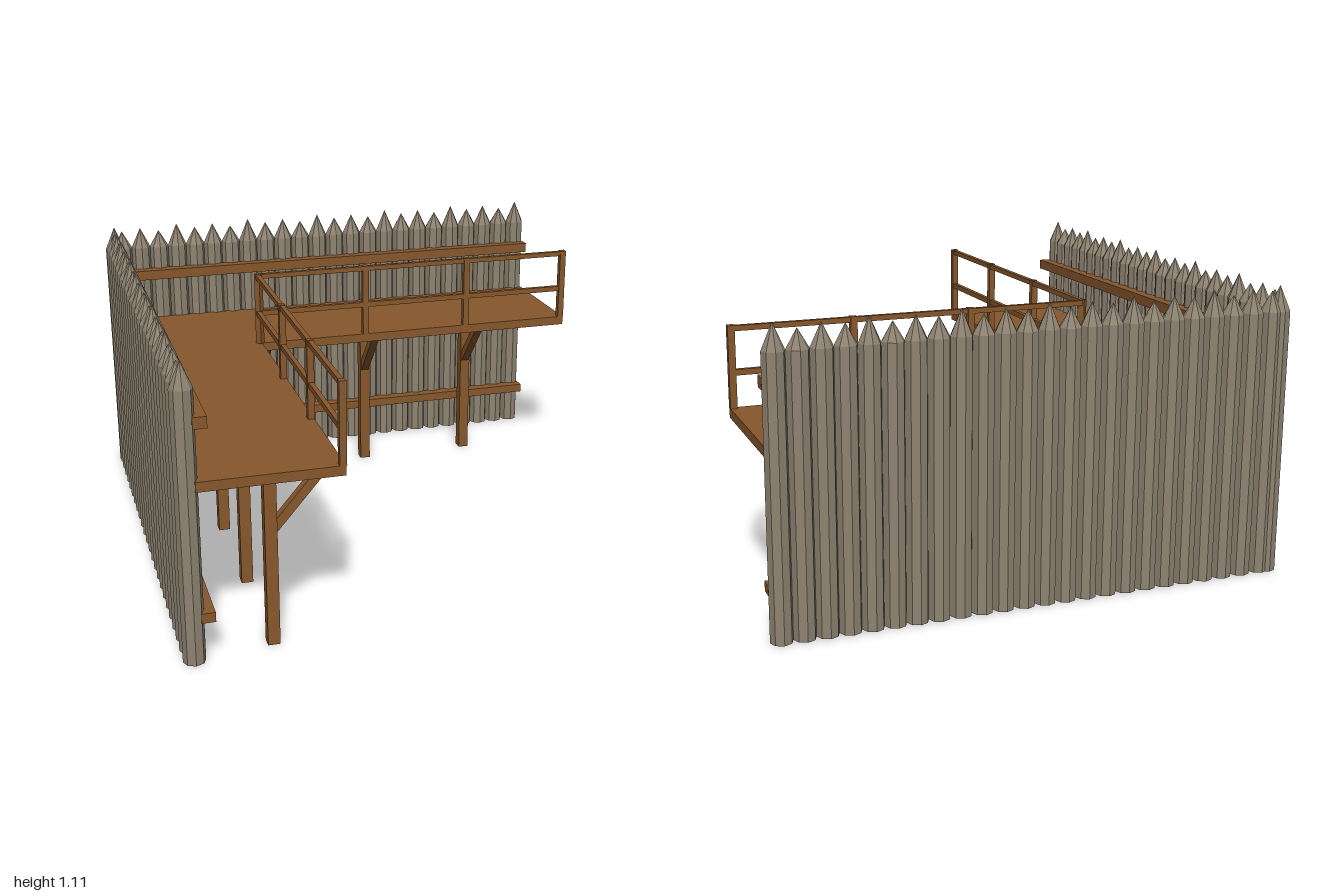
import * as THREE from 'three';

const logMat = new THREE.MeshStandardMaterial({ color: 0x8f8472, flatShading: true });
logMat.name = 'weathered log';
const woodMat = new THREE.MeshStandardMaterial({ color: 0x87572b });
woodMat.name = 'brown timber';

const WALL = -0.957;    // centre line of both palisade walls
const RADIUS = 0.041;
const END = 0.99;       // open end of both wings
const EDGE = -0.41;     // inner edge of the walkway
const INNER = -0.93;    // inner face of the palisade

export function createModel() {
  const model = new THREE.Group();
  model.name = 'palisadeCorner';

  // Box given by its limits along the wing (a), upwards (y) and across it (c).
  // The side wing swaps x and z.
  function beam(parent, name, side, [a0, a1], [y0, y1], [c0, c1]) {
    const a = a1 - a0, c = c1 - c0, am = (a0 + a1) / 2, cm = (c0 + c1) / 2;
    const mesh = new THREE.Mesh(
      new THREE.BoxGeometry(side ? c : a, y1 - y0, side ? a : c), woodMat);
    mesh.position.set(side ? cm : am, (y0 + y1) / 2, side ? am : cm);
    mesh.name = name;
    parent.add(mesh);
    return mesh;
  }

  // Pointed log
  function log(parent, x, z, tip) {
    const shoulder = 1.015;
    const group = new THREE.Group();
    group.name = 'log';
    const trunk = new THREE.Mesh(new THREE.CylinderGeometry(RADIUS, RADIUS, shoulder, 8), logMat);
    trunk.position.y = shoulder / 2;
    trunk.name = 'trunk';
    const point = new THREE.Mesh(new THREE.ConeGeometry(RADIUS, tip - shoulder, 8, 1, true), logMat);
    point.position.y = (shoulder + tip) / 2;
    point.name = 'point';
    group.add(trunk, point);
    group.position.set(x, 0, z);
    parent.add(group);
  }

  const tips = [1.11, 1.085, 1.1, 1.09];
  log(model, WALL, WALL, 1.11);

  for (const side of [false, true]) {
    const wing = new THREE.Group();
    wing.name = side ? 'sideWing' : 'backWing';
    model.add(wing);

    // Palisade
    for (let i = 0; i < 24; i++) {
      const a = 0.955 - i * 0.0817;
      log(wing, side ? WALL : a, side ? a : WALL, tips[i % 4]);
    }

    // Horizontal wall beams, butted at the corner
    const start = side ? -0.88 : INNER;
    beam(wing, 'lowerWallBeam', side, [start, END], [0.16, 0.197], [INNER, -0.88]);
    beam(wing, 'upperWallBeam', side, [start, END], [0.878, 0.92], [INNER, -0.88]);

    // Walkway
    beam(wing, 'walkway', side, [side ? EDGE : INNER, END], [0.653, 0.69], [INNER, EDGE]);

    // Support posts with diagonal braces under the walkway
    for (let i = 0; i < 4; i++) {
      const a = side ? 0.905 - i * 0.49 : -0.865 + i * 0.49;
      beam(wing, 'supportPost', side, [a - 0.022, a + 0.022], [0, 0.655], [-0.688, -0.643]);
      const brace = beam(wing, 'brace', side, [a - 0.017, a + 0.017], [0.43, 0.685], [-0.587, -0.553]);
      brace.position.y = 0.548;
      const tilt = Math.atan2(0.16, 0.185);
      if (side) brace.rotation.z = -tilt;
      else brace.rotation.x = tilt;
    }

    // Guard rail
    for (const a of [0.055, 0.52, 0.978]) {
      beam(wing, 'railPost', side, [a - 0.013, a + 0.013], [0.69, 0.997], [-0.434, -0.408]);
    }
    beam(wing, 'topRail', side, [-0.42, END], [0.975, 0.995], [-0.43, -0.411]);
    beam(wing, 'middleRail', side, [-0.42, END], [0.812, 0.834], [-0.43, -0.411]);
  }

  // Corner rail post, set diagonally
  const corner = beam(model, 'cornerRailPost', false, [-0.43, -0.404], [0.69, 0.997], [-0.43, -0.404]);
  corner.rotation.y = Math.PI / 4;

  return model;
}
